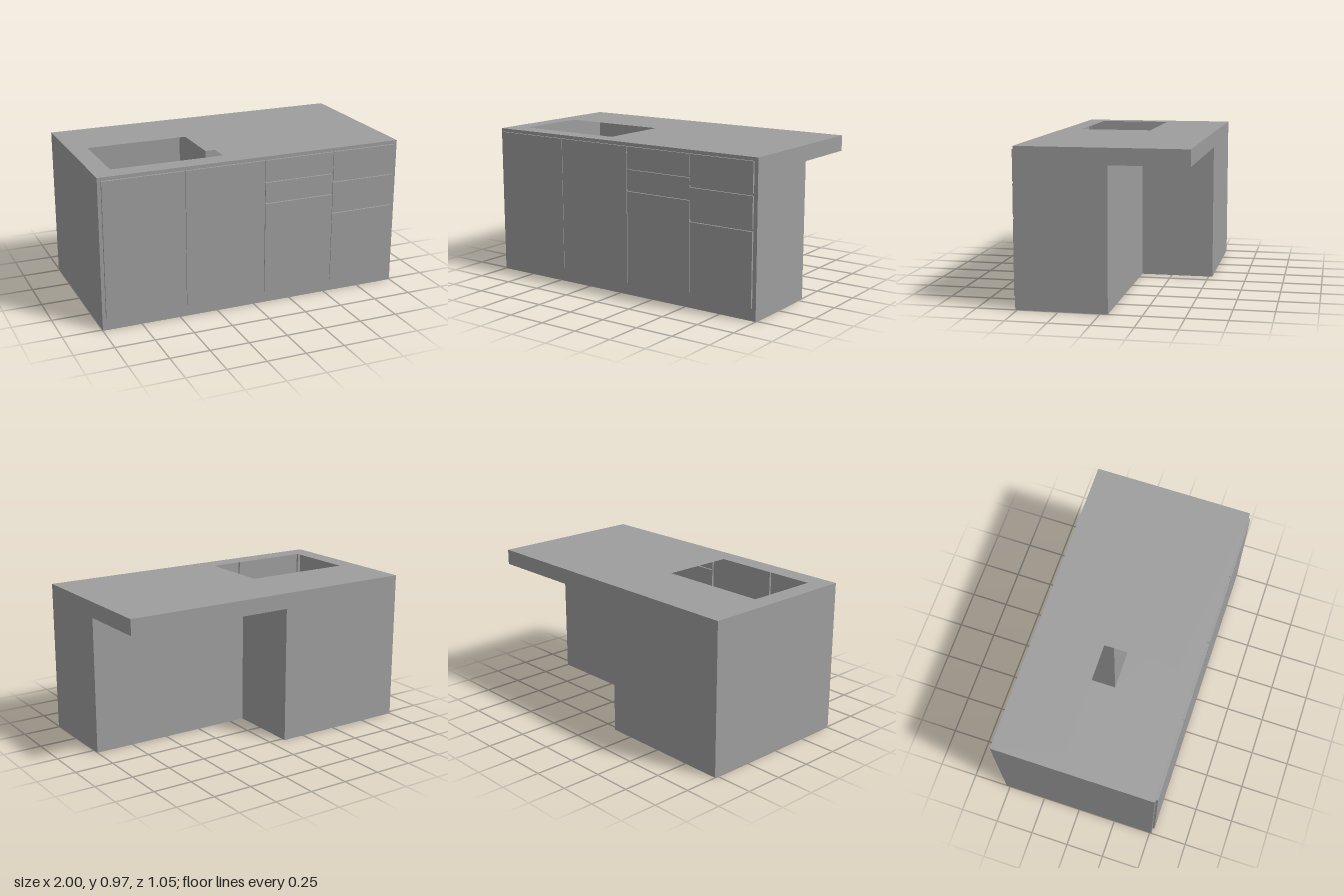
import * as THREE from 'three';

const W = 1, FRONT = 0.512, BACK = -0.525, KNEE_Z = -0.047, KNEE_X = -0.1;
const TOP = 0.972, UNDER = 0.872, DOOR_DEPTH = 0.013;

const material = new THREE.MeshStandardMaterial({ color: 0x9d9d9d, side: THREE.DoubleSide, flatShading: true });

const toPoints = (pts) => pts.map(([x, y]) => new THREE.Vector2(x, y));
const rect = (x0, y0, x1, y1) => [[x0, y0], [x1, y0], [x1, y1], [x0, y1]];

// Thin sheet of the hollow carcass: outline, openings, rotation and offset
function sheet(name, outline, rotation, offset, openings = []) {
  const shape = new THREE.Shape(toPoints(outline));
  for (const o of openings) shape.holes.push(new THREE.Path(toPoints(o)));
  const mesh = new THREE.Mesh(new THREE.ShapeGeometry(shape), material);
  mesh.name = name;
  mesh.rotation.set(...rotation);
  mesh.position.set(...offset);
  return mesh;
}

// Door or drawer front: a shallow tray, open towards the inside
function frontTray(name, [x0, y0, x1, y1]) {
  const g = new THREE.BoxGeometry(x1 - x0, y1 - y0, DOOR_DEPTH);
  g.setIndex(Array.from(g.index.array).slice(0, 30));
  g.clearGroups();
  const mesh = new THREE.Mesh(g, material);
  mesh.name = name;
  mesh.position.set((x0 + x1) / 2, (y0 + y1) / 2, FRONT + DOOR_DEPTH / 2);
  return mesh;
}

export function createModel() {
  const model = new THREE.Group();
  model.name = 'kitchenIsland';
  const Q = Math.PI / 2;

  // Columns of fronts: x range and the y ranges stacked in it
  const columns = [
    { x: [-0.978, -0.46], rows: [[0.077, 0.95]] },
    { x: [-0.457, 0.065], rows: [[0.077, 0.95]] },
    { x: [0.069, 0.536], rows: [[0.82, 0.95], [0.68, 0.806], [0.077, 0.668]] },
    { x: [0.539, 0.975], rows: [[0.762, 0.95], [0.553, 0.748], [0.077, 0.538]] },
  ];
  const fronts = new THREE.Group();
  fronts.name = 'doorsAndDrawers';
  const openings = [];
  for (const { x, rows } of columns) {
    rows.forEach(([y0, y1], i) => {
      const r = [x[0], y0, x[1], y1];
      fronts.add(frontTray(i === rows.length - 1 ? 'door' : 'drawerFront', r));
      openings.push(rect(...r));
    });
  }
  model.add(fronts);

  // Counter with the sink opening, and the underside of its overhang
  model.add(
    sheet('counterTop', rect(-W, -FRONT, W, -BACK), [-Q, 0, 0], [0, TOP, 0],
      [rect(-0.88, -0.387, -0.16, 0.088)]),
    sheet('overhangUnderside', rect(KNEE_X, BACK, W, KNEE_Z), [Q, 0, 0], [0, UNDER, 0]),
  );

  // Carcass: L-shaped floor, outer walls and the two walls of the knee space
  model.add(
    sheet('floor', [[-W, BACK], [KNEE_X, BACK], [KNEE_X, KNEE_Z], [W, KNEE_Z], [W, FRONT], [-W, FRONT]],
      [Q, 0, 0], [0, 0, 0]),
    sheet('frontFrame', rect(-W, 0, W, TOP), [0, 0, 0], [0, 0, FRONT], openings),
    sheet('rightEnd', rect(BACK, 0, FRONT, TOP), [0, -Q, 0], [-W, 0, 0]),
    sheet('leftEnd', [[-FRONT, 0], [-KNEE_Z, 0], [-KNEE_Z, UNDER], [-BACK, UNDER], [-BACK, TOP], [-FRONT, TOP]],
      [0, Q, 0], [W, 0, 0]),
    sheet('backWall', [[-KNEE_X, 0], [W, 0], [W, TOP], [-W, TOP], [-W, UNDER], [-KNEE_X, UNDER]],
      [0, Math.PI, 0], [0, 0, BACK]),
    sheet('kneeBackWall', rect(-W, 0, -KNEE_X, UNDER), [0, Math.PI, 0], [0, 0, KNEE_Z]),
    sheet('kneeSideWall', rect(-KNEE_Z, 0, -BACK, UNDER), [0, Q, 0], [KNEE_X, 0, 0]),
  );
  return model;
}
